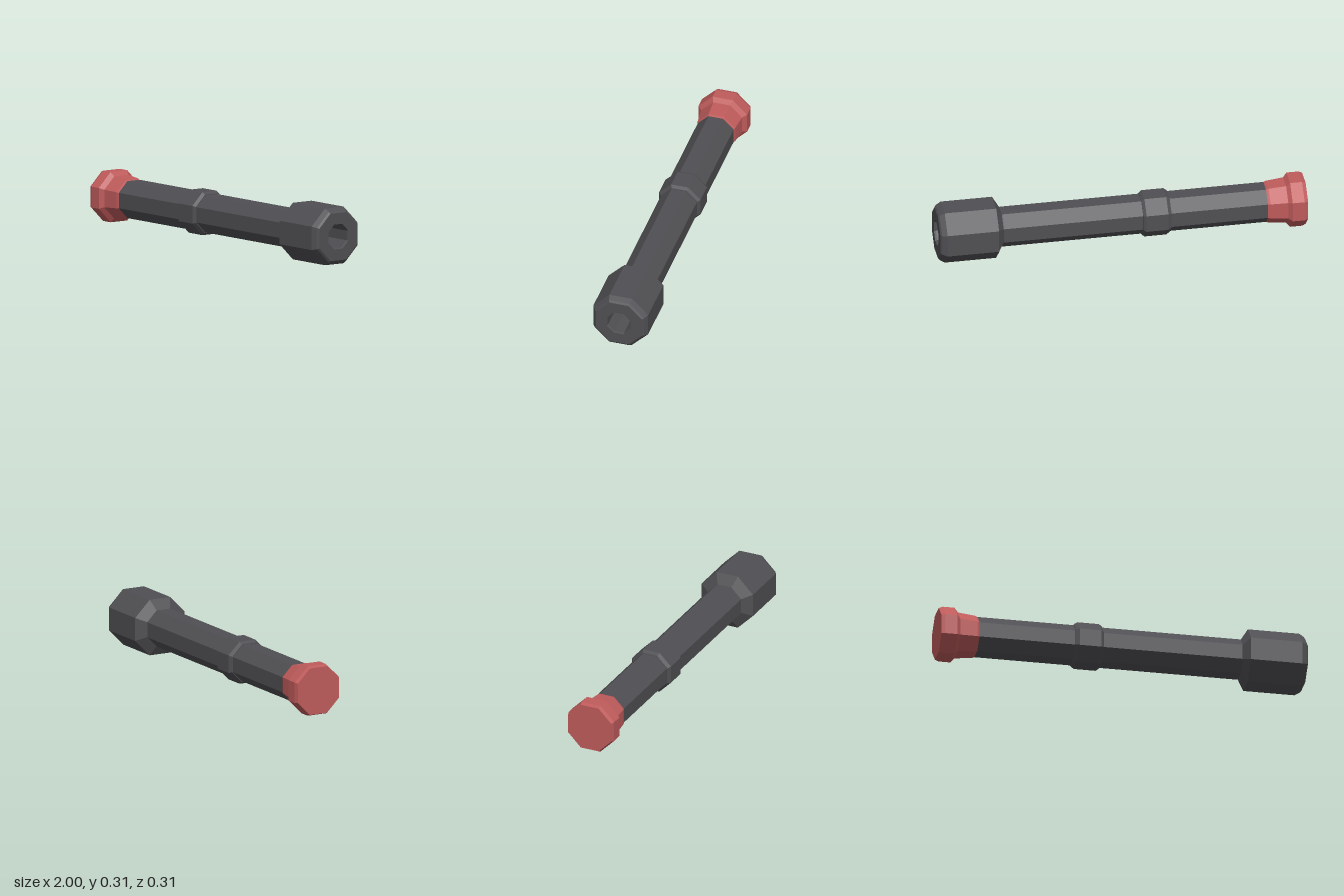
import * as THREE from 'three';

const AXIS_Y = 0.153;
const SIDES = 8;

// Octagonal turned part along x; profile is [x, half width across flats]
function octagonalPart(name, profile, material) {
  const toCorner = 1 / Math.cos(Math.PI / SIDES);
  const points = profile.map(([x, a]) => new THREE.Vector2(a * toCorner, x));
  const lathe = new THREE.LatheGeometry(points, SIDES, Math.PI / SIDES);
  lathe.rotateZ(-Math.PI / 2);
  const geometry = lathe.toNonIndexed(); // flat facets
  geometry.computeVertexNormals();
  const mesh = new THREE.Mesh(geometry, material);
  mesh.name = name;
  mesh.position.y = AXIS_Y;
  return mesh;
}

export function createModel() {
  const darkMetal = new THREE.MeshStandardMaterial({ color: 0x505054 });
  darkMetal.name = 'darkMetal';
  const red = new THREE.MeshStandardMaterial({ color: 0xbf5b5b });
  red.name = 'red';

  const group = new THREE.Group();
  group.name = 'octagonalTube';
  group.add(
    // Flared end cap
    octagonalPart('endCap', [
      [-1, 0], [-1, 0.128], [-0.98, 0.136], [-0.915, 0.136],
      [-0.895, 0.114], [-0.8, 0.105], [-0.787, 0.1], [-0.787, 0],
    ], red),
    // Long shaft
    octagonalPart('shaft', [
      [-0.79, 0], [-0.79, 0.1], [0.645, 0.1], [0.66, 0.096], [0.66, 0],
    ], darkMetal),
    // Raised collar with chamfered rims
    octagonalPart('collar', [
      [-0.262, 0.098], [-0.262, 0.104], [-0.243, 0.116],
      [-0.124, 0.116], [-0.108, 0.104], [-0.108, 0.098],
    ], darkMetal),
    // Wide head with a stepped socket in its end
    octagonalPart('head', [
      [0.65, 0], [0.65, 0.098], [0.685, 0.153], [0.965, 0.153], [0.992, 0.138], [1, 0.128],
      [1, 0.067], [0.99, 0.0635], [0.8, 0.0625], [0.8, 0],
    ], darkMetal),
  );
  return group;
}
